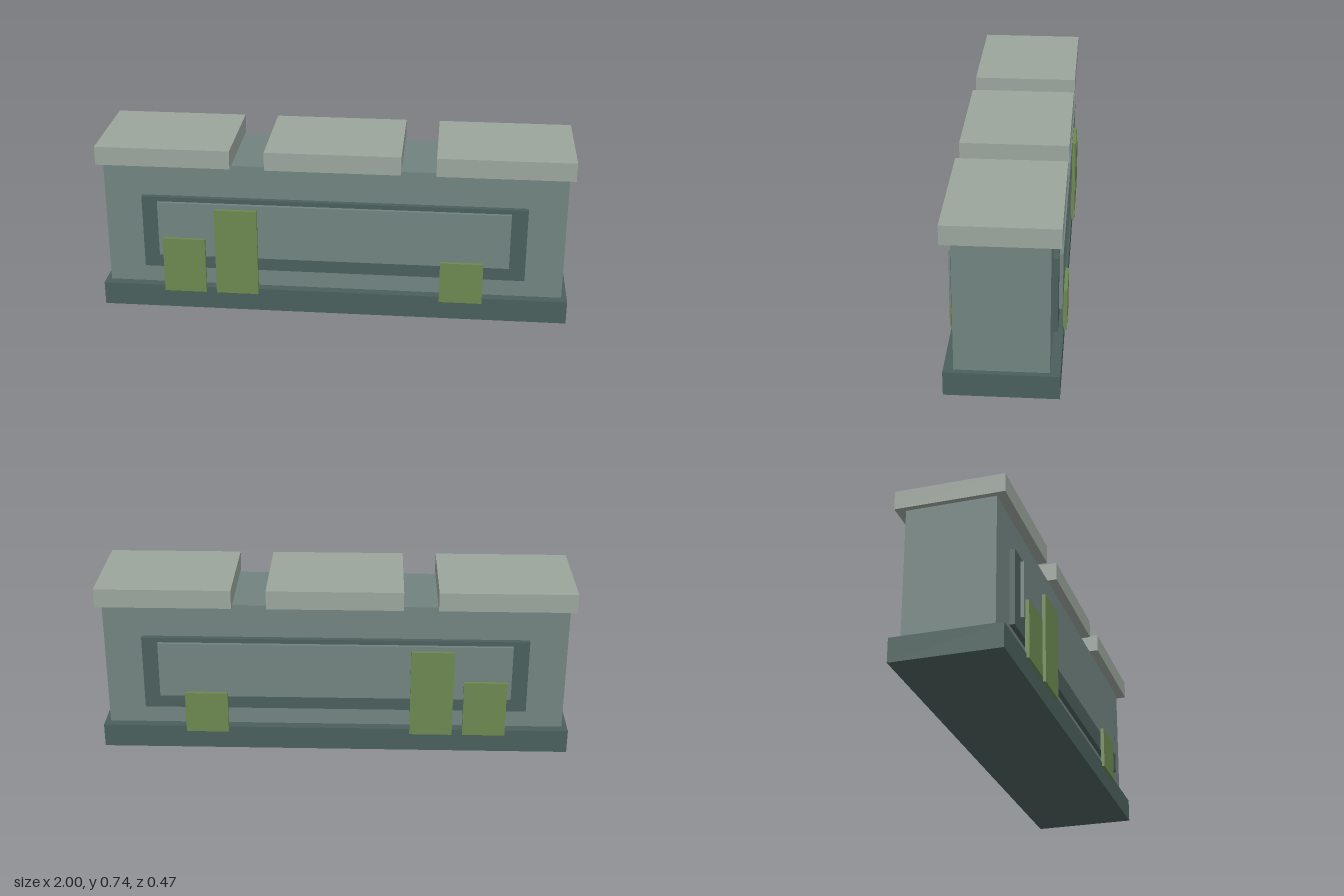
import * as THREE from 'three';

const material = (color) => new THREE.MeshStandardMaterial({ color });

export function createModel() {
  const model = new THREE.Group();
  const dark = material(0x4a5f5c);
  const stone = material(0x71837f);
  const pale = material(0x9ba59c);
  const moss = material(0x6c8850);

  // Box given by its extents along each axis
  const block = (name, mat, [x0, x1], [y0, y1], [z0, z1]) => {
    const mesh = new THREE.Mesh(new THREE.BoxGeometry(x1 - x0, y1 - y0, z1 - z0), mat);
    mesh.position.set((x0 + x1) / 2, (y0 + y1) / 2, (z0 + z1) / 2);
    mesh.name = name;
    model.add(mesh);
  };

  // Plinth and wall
  block('plinth', dark, [-1, 1], [0, 0.102], [-0.225, 0.225]);
  block('wall', stone, [-0.977, 0.977], [0.01, 0.656], [-0.185, 0.185]);

  // Three cap stones with gaps between them
  for (const x of [-0.715, 0, 0.715]) {
    block('capStone', pale, [x - 0.285, x + 0.285], [0.656, 0.736], [-0.225, 0.225]);
  }

  // Layered panels and moss patches, the same on front and back
  const patches = [[-0.637, 0.331], [-0.411, 0.471], [0.548, 0.267]];
  for (const [side, s] of [['front', 1], ['back', -1]]) {
    const depth = (a, b) => (s > 0 ? [a, b] : [-b, -a]);
    block(side + 'PanelBorder', dark, [-0.816, 0.816], [0.185, 0.511], depth(0.18, 0.207));
    block(side + 'Panel', stone, [-0.747, 0.747], [0.247, 0.491], depth(0.2, 0.222));
    for (const [x, top] of patches) {
      block(side + 'Moss', moss, [x - 0.091, x + 0.091], [0.083, top], depth(0.221, 0.237));
    }
  }
  return model;
}
